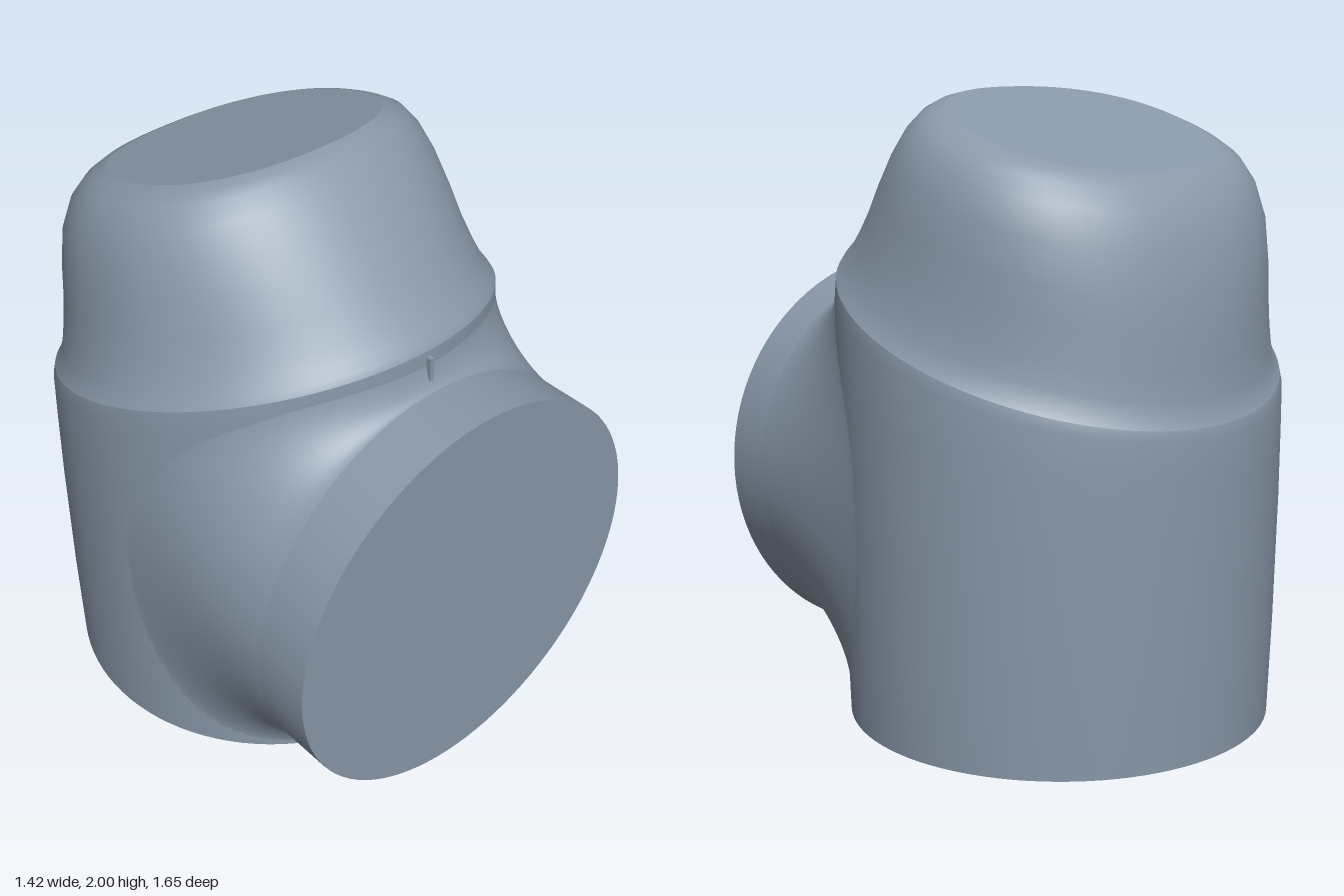
import * as THREE from 'three';

const SIDES = 96;
const BODY_Z = -0.118;

// Smooth skin through closed rings of points
function loft(rings) {
  const pos = rings.flat().flatMap((p) => [p.x, p.y, p.z]);
  const index = [];
  for (let i = 0; i < rings.length - 1; i++) {
    for (let j = 0; j < SIDES; j++) {
      const a = i * SIDES + j, b = i * SIDES + (j + 1) % SIDES;
      index.push(a, a + SIDES, b, b, a + SIDES, b + SIDES);
    }
  }
  return build(pos, index);
}

// Flat fan closing one ring
function cap(ring, flip) {
  const c = new THREE.Vector3();
  ring.forEach((p) => c.addScaledVector(p, 1 / SIDES));
  const pos = [c, ...ring].flatMap((p) => [p.x, p.y, p.z]);
  const index = [];
  for (let j = 0; j < SIDES; j++) {
    const a = 1 + j, b = 1 + (j + 1) % SIDES;
    index.push(0, flip ? a : b, flip ? b : a);
  }
  return build(pos, index);
}

function build(pos, index) {
  const g = new THREE.BufferGeometry();
  g.setAttribute('position', new THREE.Float32BufferAttribute(pos, 3));
  g.setIndex(index);
  g.computeVertexNormals();
  return g;
}

// Tilted superellipse ring: front z/y, back z/y, half width, exponent
function tiltedRing([fz, fy, bz, by, w, n]) {
  return Array.from({ length: SIDES }, (_, j) => {
    const a = (j / SIDES) * Math.PI * 2;
    const sq = (v) => Math.sign(v) * Math.abs(v) ** (2 / n);
    const t = (sq(Math.sin(a)) + 1) / 2;
    return new THREE.Vector3(w * sq(Math.cos(a)), by + (fy - by) * t, bz + (fz - bz) * t);
  });
}

// Round section of the branch pipe at a given z
const PIPE_R = 0.684, PIPE_Y = 0.721;
function pipeRing(z) {
  return Array.from({ length: SIDES }, (_, j) => {
    const a = (-j / SIDES) * Math.PI * 2;
    return new THREE.Vector3(PIPE_R * Math.cos(a), PIPE_Y + PIPE_R * Math.sin(a), z);
  });
}

// Root of the branch on the body surface, spread up to the rim and down to the base
function rootRing() {
  return pipeRing(0).map((p) => {
    const c = p.x / PIPE_R, s = (p.y - PIPE_Y) / PIPE_R;
    const limit = s > 0 ? 1.27 + 0.25 * s : 0;
    const y = p.y + (limit - p.y) * (1 - (1 - Math.abs(s)) ** 2);
    const bodyR = 0.685 + 0.025 * Math.sin(Math.min(y, 1) * Math.PI / 2);
    const x = 0.985 * bodyR * c;
    return new THREE.Vector3(x, y, BODY_Z + Math.sqrt(bodyR * bodyR - x * x) - 0.004);
  });
}

export function createModel() {
  const group = new THREE.Group();
  const material = new THREE.MeshStandardMaterial({ color: 0x8998a9 });
  const add = (name, geometry) => {
    const mesh = new THREE.Mesh(geometry, material);
    mesh.name = name;
    group.add(mesh);
    return mesh;
  };

  // Upright body with a slight barrel shape, ending at the slanted rim
  const body = [
    [0.565, 0, -0.800, 0, 0.685, 2],
    [0.575, 0.40, -0.810, 0.30, 0.698, 2],
    [0.588, 0.85, -0.820, 0.70, 0.707, 2],
    [0.592, 1.20, -0.822, 0.90, 0.709, 2],
    [0.594, 1.46, -0.822, 1.01, 0.709, 2],
    [0.592, 1.53, -0.815, 1.04, 0.702, 2],
  ].map(tiltedRing);
  add('body', loft(body));
  add('bodyBase', cap(body[0], true));

  // Domed head narrowing to a slanted, rounded-square top
  const head = [
    [0.592, 1.53, -0.815, 1.04, 0.702, 2],
    [0.580, 1.55, -0.800, 1.07, 0.687, 2],
    [0.550, 1.575, -0.790, 1.12, 0.668, 2],
    [0.510, 1.62, -0.785, 1.20, 0.647, 2.02],
    [0.455, 1.685, -0.778, 1.31, 0.626, 2.05],
    [0.390, 1.77, -0.768, 1.41, 0.610, 2.1],
    [0.310, 1.86, -0.745, 1.55, 0.588, 2.15],
    [0.245, 1.93, -0.705, 1.655, 0.553, 2.2],
    [0.190, 1.975, -0.660, 1.72, 0.510, 2.25],
    [0.155, 1.993, -0.625, 1.755, 0.465, 2.3],
    [0.125, 2.0, -0.600, 1.77, 0.430, 2.3],
  ].map(tiltedRing);
  add('head', loft(head));
  add('headTop', cap(head[head.length - 1], false));

  // Horizontal branch pipe with a wide blended root and closed end
  const root = rootRing(), neck = pipeRing(0.63), end = pipeRing(0.825);
  const flare = Array.from({ length: 17 }, (_, i) => {
    const t = i / 16;
    const ky = 1 - (1 - t) ** 1.5, kz = t ** 1.5;
    return root.map((p, j) => new THREE.Vector3(
      p.x + (neck[j].x - p.x) * t,
      p.y + (neck[j].y - p.y) * ky,
      p.z + (neck[j].z - p.z) * kz
    ));
  });
  add('branchFlare', loft(flare));
  add('branchPipe', loft([neck, end]));
  add('branchEnd', cap(end, false));

  // Small alignment mark above the branch
  add('alignmentMark', new THREE.BoxGeometry(0.015, 0.08, 0.03)).position.set(0, 1.47, 0.595);

  return group;
}
